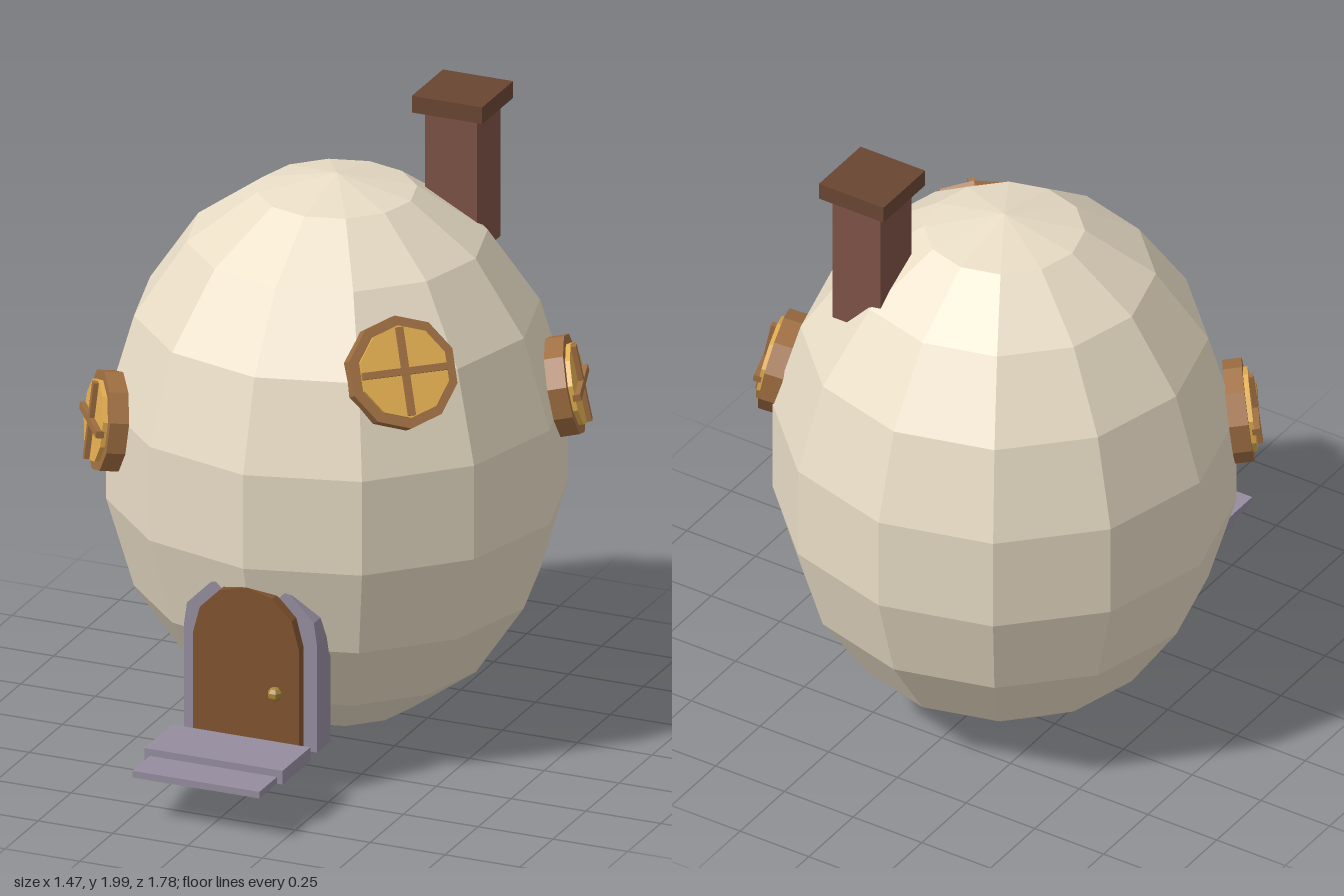
import * as THREE from 'three';

const mat = (color) => new THREE.MeshStandardMaterial({ color, flatShading: true });
const MATS = {
  shell: mat(0xe8dcc5), stone: mat(0x958c9f), door: mat(0x80532f), wood: mat(0xa06f42),
  glass: mat(0xe3ae50), brick: mat(0x7c5245), cap: mat(0x6a4532), brass: mat(0xa8843a),
};

function add(parent, name, geometry, material, x = 0, y = 0, z = 0) {
  const mesh = new THREE.Mesh(geometry, material);
  mesh.name = name;
  mesh.position.set(x, y, z);
  parent.add(mesh);
  return mesh;
}

// Arched slab: straight sides topped by a polygonal curve of [x, y] points (right half)
function archSlab(points, depth) {
  const shape = new THREE.Shape();
  points.forEach(([x, y], i) => (i ? shape.lineTo(x, y) : shape.moveTo(x, y)));
  [...points].reverse().forEach(([x, y]) => { if (x > 0) shape.lineTo(-x, y); });
  shape.closePath();
  return new THREE.ExtrudeGeometry(shape, { depth, bevelEnabled: false });
}

// Round window built facing +z: rim, protruding pane and cross bars
function makeWindow(r, name) {
  const g = new THREE.Group();
  g.name = name;
  const disc = (radius, depth) => new THREE.CylinderGeometry(radius, radius, depth, 10).rotateX(Math.PI / 2);
  add(g, 'windowRim', disc(r, 0.06), MATS.wood);
  add(g, 'windowPane', disc(r * 0.82, 0.06), MATS.glass, 0, 0, 0.015);
  const bar = r * 1.56;
  add(g, 'horizontalBar', new THREE.BoxGeometry(bar, 0.022, 0.025), MATS.wood, 0, 0, 0.05);
  add(g, 'verticalBar', new THREE.BoxGeometry(0.022, bar, 0.025), MATS.wood, 0, 0, 0.049);
  return g;
}

export function createModel() {
  const house = new THREE.Group();
  house.name = 'eggHouse';
  const cx = -0.022, cy = 0.9, cz = -0.18;

  // Egg-shaped shell
  const egg = new THREE.SphereGeometry(1, 12, 9).scale(0.721, 0.89, 0.721);
  add(house, 'eggShell', egg, MATS.shell, cx, cy, cz);

  // Chimney
  add(house, 'chimney', new THREE.BoxGeometry(0.175, 0.46, 0.175), MATS.brick, 0.262, 1.725, -0.487);
  add(house, 'chimneyCap', new THREE.BoxGeometry(0.235, 0.055, 0.235), MATS.cap, 0.262, 1.9725, -0.487);

  // Stone surround with arched top
  const surround = archSlab([[0.222, 0.155], [0.222, 0.51], [0.212, 0.58], [0.135, 0.658], [0, 0.7]], 0.105);
  add(house, 'doorSurround', surround, MATS.stone, cx, 0, 0.37);

  // Door with semicircular head
  const outline = [[0.177, 0.155]];
  for (let i = 0; i <= 3; i++) {
    const a = (i * Math.PI) / 6;
    outline.push([i === 3 ? 0 : 0.177 * Math.cos(a), 0.5 + 0.177 * Math.sin(a)]);
  }
  add(house, 'door', archSlab(outline, 0.035), MATS.door, cx, 0, 0.475);
  add(house, 'doorKnob', new THREE.SphereGeometry(0.024, 6, 5), MATS.brass, 0.08, 0.345, 0.522);

  // Front steps
  add(house, 'upperStep', new THREE.BoxGeometry(0.462, 0.045, 0.21), MATS.stone, cx, 0.1775, 0.65);
  add(house, 'lowerStep', new THREE.BoxGeometry(0.425, 0.022, 0.133), MATS.stone, cx, 0.166, 0.8215);

  // Windows, each turned along the shell's surface normal
  const windows = [
    ['frontLeftWindow', 0.175, 0.387, 1.36, 0.265],
    ['leftWindow', 0.16, 0.642, 1.115, -0.4],
    ['frontRightWindow', 0.16, -0.605, 1.03, 0.235],
  ];
  for (const [name, r, x, y, z] of windows) {
    const w = makeWindow(r, name);
    w.position.set(x, y, z);
    const normal = new THREE.Vector3((x - cx) / 0.52, (y - cy) / 0.79, (z - cz) / 0.52);
    w.lookAt(normal.add(w.position));
    house.add(w);
  }
  return house;
}
